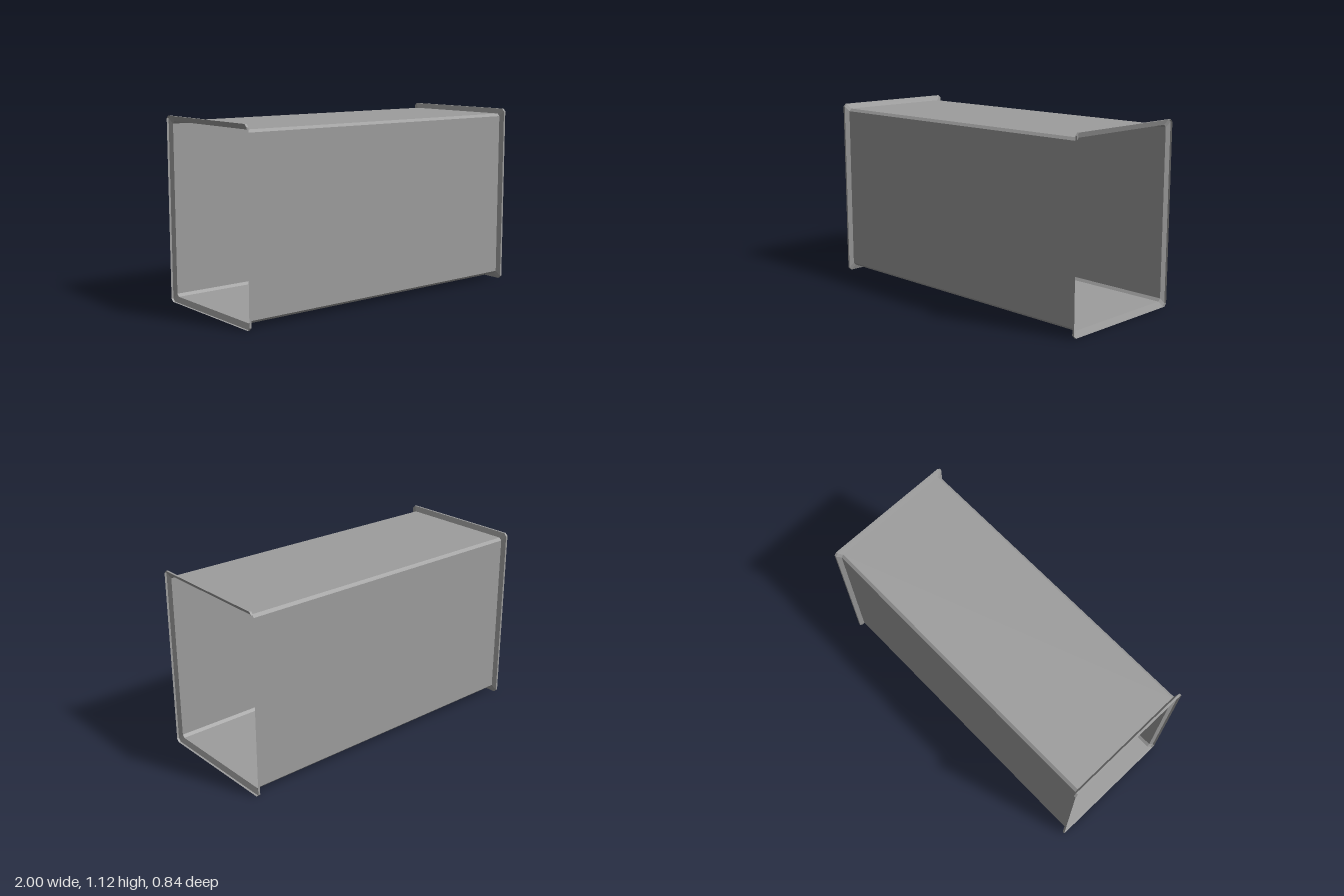
import * as THREE from 'three';

const MID_Y = 0.56;

// Rectangle with cut corners in the zy plane at a given x, counted round +x
function section(x, halfZ, halfY, cut) {
  const pts = [
    [halfZ, halfY - cut], [halfZ - cut, halfY],
    [-halfZ + cut, halfY], [-halfZ, halfY - cut],
    [-halfZ, -halfY + cut], [-halfZ + cut, -halfY],
    [halfZ - cut, -halfY], [halfZ, -halfY + cut],
  ];
  return pts.map(([z, y]) => new THREE.Vector3(x, MID_Y + y, z));
}

// Open thin sheet joining successive sections, ordered by rising x
function sheet(name, sections, material) {
  const pos = [];
  for (let s = 0; s < sections.length - 1; s++) {
    const a = sections[s], b = sections[s + 1];
    for (let i = 0; i < a.length; i++) {
      const j = (i + 1) % a.length;
      for (const p of [a[i], b[i], b[j], a[i], b[j], a[j]]) pos.push(p.x, p.y, p.z);
    }
  }
  const geo = new THREE.BufferGeometry();
  geo.setAttribute('position', new THREE.Float32BufferAttribute(pos, 3));
  geo.computeVertexNormals();
  const mesh = new THREE.Mesh(geo, material);
  mesh.name = name;
  return mesh;
}

export function createModel() {
  const group = new THREE.Group();
  group.name = 'rectangularDuct';
  const metal = new THREE.MeshStandardMaterial({
    color: 0x9d9d9d, flatShading: true, side: THREE.DoubleSide,
  });

  const body = (x) => section(x, 0.393, 0.528, 0.016);
  const rim = (x) => section(x, 0.42, 0.56, 0.017);

  // Straight walls, open at both ends
  group.add(sheet('ductWalls', [body(-0.974), body(0.974)], metal));

  // Flared collar with a short straight lip at each end
  group.add(sheet('leftFlange', [body(0.974), rim(0.987), rim(1)], metal));
  group.add(sheet('rightFlange', [rim(-1), rim(-0.987), body(-0.974)], metal));

  return group;
}
